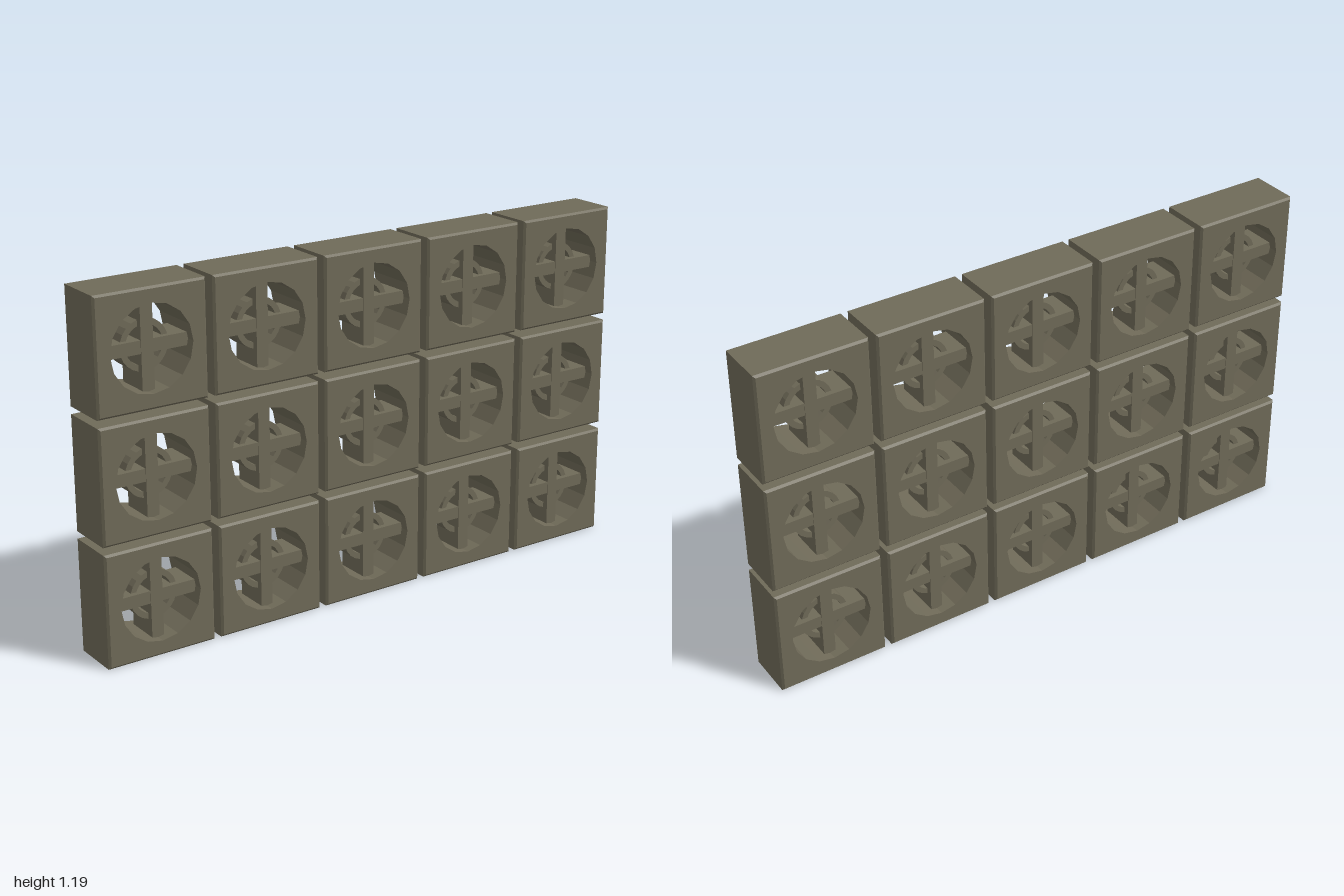
import * as THREE from 'three';

const COLS = 5, ROWS = 3, PITCH = 0.405;
const HALF = 0.19, DEPTH = 0.18, BEVEL = 0.007, HOLE = 0.141;

// closed loop of cross-sections { r, z, square } swept round the z axis, flat shaded
function loopGeometry(sections, sides) {
  const point = ({ r, z, square }, i) => {
    const a = (i / sides) * Math.PI * 2;
    const c = Math.cos(a), s = Math.sin(a);
    const k = square ? r / Math.max(Math.abs(c), Math.abs(s)) : r;
    return [c * k, s * k, z];
  };
  const positions = [];
  sections.forEach((near, j) => {
    const next = sections[(j + 1) % sections.length];
    for (let i = 0; i < sides; i++) {
      const a = point(near, i), b = point(next, i);
      const c = point(next, i + 1), d = point(near, i + 1);
      positions.push(...a, ...b, ...c, ...a, ...c, ...d);
    }
  });
  const geometry = new THREE.BufferGeometry();
  geometry.setAttribute('position', new THREE.Float32BufferAttribute(positions, 3));
  geometry.computeVertexNormals();
  return geometry;
}

// square block with softened edges and a round opening
function frameGeometry() {
  const d = DEPTH / 2;
  return loopGeometry([
    { r: HOLE, z: d },
    { r: HALF - BEVEL, z: d, square: true },
    { r: HALF, z: d - BEVEL, square: true },
    { r: HALF, z: -d + BEVEL, square: true },
    { r: HALF - BEVEL, z: -d, square: true },
    { r: HOLE, z: -d },
  ], 16);
}

// flat-sided ring that ties the cross bars together
function ringGeometry() {
  const inner = 0.064, outer = 0.083, d = 0.04;
  return loopGeometry([
    { r: inner, z: d }, { r: outer, z: d },
    { r: outer, z: -d }, { r: inner, z: -d },
  ], 24);
}

export function createModel() {
  const model = new THREE.Group();
  model.name = 'breezeBlockWall';
  const concrete = new THREE.MeshStandardMaterial({ color: 0x6f6a58 });
  concrete.name = 'weathered concrete';

  const parts = {
    frame: frameGeometry(),
    ring: ringGeometry(),
    verticalBar: new THREE.BoxGeometry(0.042, HOLE * 2 + 0.02, 0.12),
    horizontalBar: new THREE.BoxGeometry(HOLE * 2 + 0.02, 0.042, 0.116),
  };

  // grid of identical blocks with narrow open joints
  for (let row = 0; row < ROWS; row++) {
    for (let col = 0; col < COLS; col++) {
      const block = new THREE.Group();
      block.name = `block_${row + 1}_${col + 1}`;
      for (const [name, geometry] of Object.entries(parts)) {
        const mesh = new THREE.Mesh(geometry, concrete);
        mesh.name = name;
        block.add(mesh);
      }
      block.position.set((col - (COLS - 1) / 2) * PITCH, HALF + row * 0.405, 0);
      model.add(block);
    }
  }
  return model;
}
